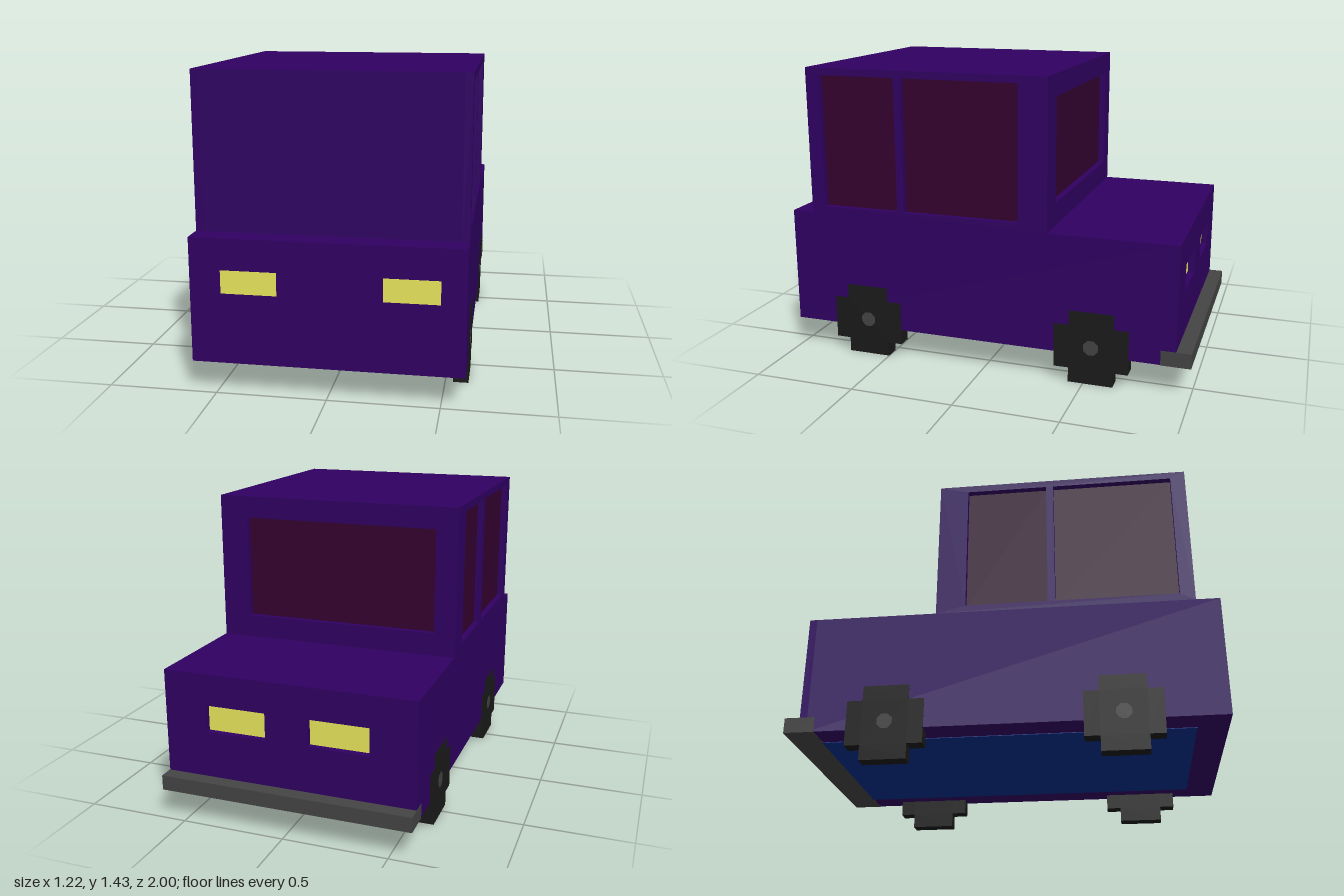
import * as THREE from 'three';

const flat = (name, color) => {
  const m = new THREE.MeshStandardMaterial({ color });
  m.name = name;
  return m;
};

export function createModel() {
  const purple = flat('purple paint', 0x300062);
  const glass = flat('maroon glass', 0x330030);
  const yellow = flat('yellow light', 0xe8e65c);
  const rubber = flat('black rubber', 0x1a1a1a);
  const grey = flat('dark grey', 0x444444);
  const navy = flat('navy floor', 0x002c8c);

  const car = new THREE.Group();
  car.name = 'car';
  const W = 0.605; // half width
  const T = 0.035; // panel thickness and recess depth

  const add = (name, geometry, material) => {
    const mesh = new THREE.Mesh(geometry, material);
    mesh.name = name;
    car.add(mesh);
    return mesh;
  };

  // Box given by its limits on each axis
  const box = (name, material, [x0, x1], [y0, y1], [z0, z1]) => {
    const g = new THREE.BoxGeometry(x1 - x0, y1 - y0, z1 - z0);
    g.translate((x0 + x1) / 2, (y0 + y1) / 2, (z0 + z1) / 2);
    return add(name, g, material);
  };

  const rect = (Type, [u0, u1, v0, v1]) =>
    new Type([[u0, v0], [u1, v0], [u1, v1], [u0, v1]].map(p => new THREE.Vector2(...p)));

  // Flat panel with rectangular openings, extruded along z
  const panel = (outline, holes, depth) => {
    const shape = rect(THREE.Shape, outline);
    holes.forEach(h => shape.holes.push(rect(THREE.Path, h)));
    return new THREE.ExtrudeGeometry(shape, { depth, bevelEnabled: false });
  };

  // Lower body: solid core, rear panel with light openings, floor plate underneath
  box('body', purple, [-W, W], [0.145, 0.715], [-0.93 + T, 1]);
  const rearLights = [[0.105, 0.4, 0.435, 0.565], [-0.39, -0.1, 0.435, 0.565]];
  add('rearPanel', panel([-W, W, 0.145, 0.715], rearLights, T), purple).position.z = -0.93;
  box('floor', navy, [-0.463, 0.463], [0.142, 0.148], [-0.862, 0.858]);
  for (const [x0, x1, y0, y1] of rearLights)
    box('rearLight', yellow, [x0, x1], [y0, y1], [-0.899, -0.891]);
  for (const [x0, x1] of [[-0.465, -0.215], [0.25, 0.495]])
    box('frontLight', yellow, [x0, x1], [0.467, 0.572], [0.995, 1.0015]);
  box('bumper', grey, [-W - 0.0015, W + 0.0015], [0.1435, 0.215], [-1, -0.86]);

  // Cabin: core, framed openings on the sides and the back
  box('cabin', purple, [-W + T, W - T], [0.715, 1.43], [-0.32 + T, 0.89]);
  const backOpening = [-0.5, 0.465, 0.825, 1.325];
  add('cabinBackFrame', panel([-W + T, W - T, 0.715, 1.43], [backOpening], T), purple).position.z = -0.32;
  box('backWindow', glass, [-0.5, 0.465], [0.825, 1.325], [-0.289, -0.281]);

  const sideWindows = {
    1: [[0.43, 0.82], [-0.18, 0.395]],
    [-1]: [[-0.18, 0.21], [0.245, 0.82]],
  };
  for (const side of [1, -1]) {
    const spans = sideWindows[side];
    const frame = panel([-0.32, 0.89, 0.715, 1.43], spans.map(s => [...s, 0.75, 1.395]), T);
    add('cabinSideFrame', frame.rotateY(-Math.PI / 2), purple).position.x = side > 0 ? W : -W + T;
    const x = side * (W - T);
    spans.forEach(s => box('sideWindow', glass, [x - 0.004, x + 0.004], [0.75, 1.395], s));
  }

  // Stepped wheels with small hub caps
  const a = 0.107, b = 0.178;
  const wheelShape = new THREE.Shape([
    [-a, -b], [a, -b], [a, -a], [b, -a], [b, a], [a, a],
    [a, b], [-a, b], [-a, a], [-b, a], [-b, -a], [-a, -a],
  ].map(p => new THREE.Vector2(...p)));
  const tyre = new THREE.ExtrudeGeometry(wheelShape, { depth: 0.071, bevelEnabled: false });
  tyre.translate(0, 0, -0.0355).rotateY(-Math.PI / 2);
  const hub = new THREE.CylinderGeometry(0.038, 0.038, 0.008, 8).rotateZ(Math.PI / 2);
  hub.rotateX(Math.PI / 8);
  for (const [side, z] of [[1, 0.608], [-1, 0.537], [1, -0.535], [-1, -0.535]]) {
    add('wheel', tyre, rubber).position.set(side * 0.571, b, z);
    add('hubCap', hub, grey).position.set(side * 0.604, b + 0.004, z);
  }
  return car;
}
